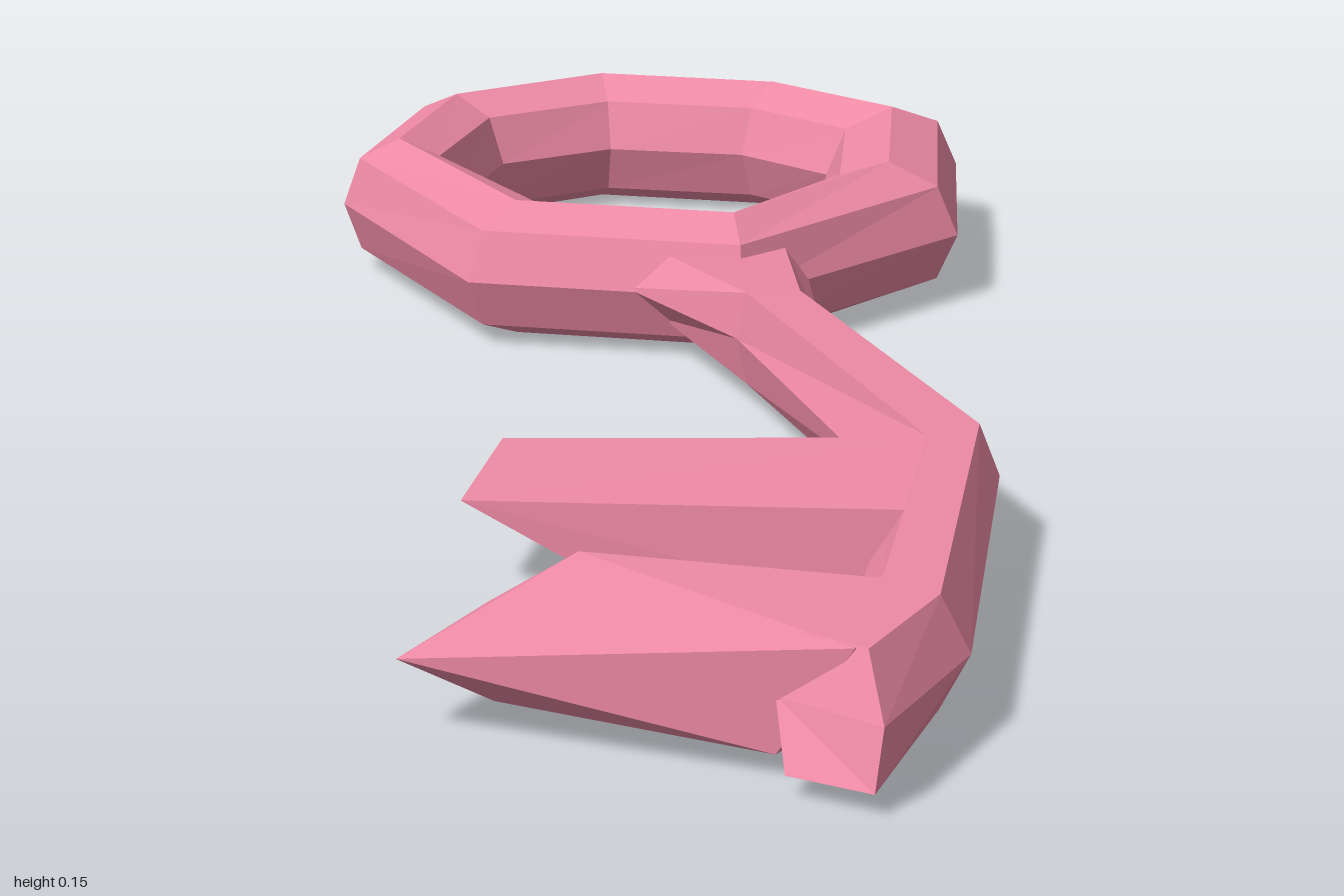
import * as THREE from 'three';
import { ConvexGeometry } from 'three/addons/geometries/ConvexGeometry.js';

// Skin a row of equal-length cross-sections; closed joins last to first, otherwise both ends are capped.
function loft(sections, closed) {
  const out = [];
  const tri = (...pts) => pts.forEach((p) => out.push(...p));
  const n = sections.length, m = sections[0].length;
  for (let i = 0; i < (closed ? n : n - 1); i++) {
    const s = sections[i], t = sections[(i + 1) % n];
    for (let j = 0; j < m; j++) {
      const k = (j + 1) % m;
      tri(s[j], t[j], t[k]);
      tri(s[j], t[k], s[k]);
    }
  }
  if (!closed) {
    const a = sections[0], b = sections[n - 1];
    for (let j = 1; j < m - 1; j++) {
      tri(a[0], a[j], a[j + 1]);
      tri(b[0], b[j + 1], b[j]);
    }
  }
  const g = new THREE.BufferGeometry();
  g.setAttribute('position', new THREE.Float32BufferAttribute(out, 3));
  g.computeVertexNormals();
  return g;
}

export function createModel() {
  const group = new THREE.Group();
  const material = new THREE.MeshStandardMaterial({ color: 0xee8aa5, flatShading: true });
  const add = (name, geometry) => {
    const mesh = new THREE.Mesh(geometry, material);
    mesh.name = name;
    group.add(mesh);
  };
  const MID = 0.073;

  // Bow: uneven eight-sided loop, each corner [outer x, outer z, inner x, inner z]
  const corners = [
    [0.015, -1.0, 0.015, -0.86], [-0.21, -0.905, -0.115, -0.815],
    [-0.31, -0.675, -0.185, -0.67], [-0.21, -0.345, -0.095, -0.45],
    [0.065, -0.24, 0.07, -0.385], [0.335, -0.44, 0.2, -0.535],
    [0.395, -0.735, 0.24, -0.71], [0.25, -0.905, 0.16, -0.81],
  ];
  const rings = corners.map(([ox, oz, ix, iz]) => {
    const section = [];
    for (let j = 0; j < 8; j++) {
      const a = (j * Math.PI) / 4, t = 0.5 - 0.5 * Math.cos(a);
      section.push([ox + (ix - ox) * t, MID + 0.073 * Math.sin(a), oz + (iz - oz) * t]);
    }
    return section;
  });
  add('bow', loft(rings, true));

  // Shaft: bent six-sided bar; each station is left ridge, left top, right top, right ridge, half height
  const stations = [
    [[-0.05, -0.3], [-0.01, -0.3], [0.12, -0.3], [0.145, -0.3], 0.036],
    [[0.035, -0.1], [0.045, -0.1], [0.1, -0.1], [0.125, -0.1], 0.048],
    [[0.1, 0.4], [0.13, 0.4], [0.185, 0.37], [0.205, 0.37], 0.052],
    [[-0.02, 0.77], [0.015, 0.77], [0.055, 0.82], [0.08, 0.83], 0.052],
    [[-0.1, 0.9], [-0.075, 0.89], [-0.03, 0.94], [-0.025, 0.985], 0.052],
  ];
  const bars = stations.map(([lm, lt, rt, rm, h]) => [
    [lm[0], MID, lm[1]], [lt[0], MID + h, lt[1]], [rt[0], MID + h, rt[1]],
    [rm[0], MID, rm[1]], [rt[0], MID - h, rt[1]], [lt[0], MID - h, lt[1]],
  ]);
  // The tip's underside reaches past its top
  bars[4][4] = [-0.035, 0.02, 0.998];
  bars[4][5] = [-0.1, 0.02, 0.945];
  add('shaft', loft(bars, false));

  // Teeth: faceted wedges reaching sideways from the shaft
  const wedge = (pts) => new ConvexGeometry(pts.map((p) => new THREE.Vector3(...p)));
  add('innerTooth', wedge([
    [0.13, 0.124, 0.4], [0.075, 0.124, 0.6], [0.13, 0.021, 0.4], [0.075, 0.021, 0.6],
    [-0.245, 0.09, 0.235], [-0.305, 0.09, 0.41],
    [-0.12, 0.021, 0.3], [-0.17, 0.021, 0.475],
  ]));
  add('outerTooth', wedge([
    [0.015, 0.124, 0.77], [-0.04, 0.124, 0.935], [0.015, 0.021, 0.77], [-0.1, 0.021, 0.9],
    [-0.4, 0.07, 0.755], [-0.23, 0.122, 0.655],
    [-0.305, 0.07, 0.625], [-0.315, 0.021, 0.74], [-0.23, 0.021, 0.66],
  ]));
  return group;
}
